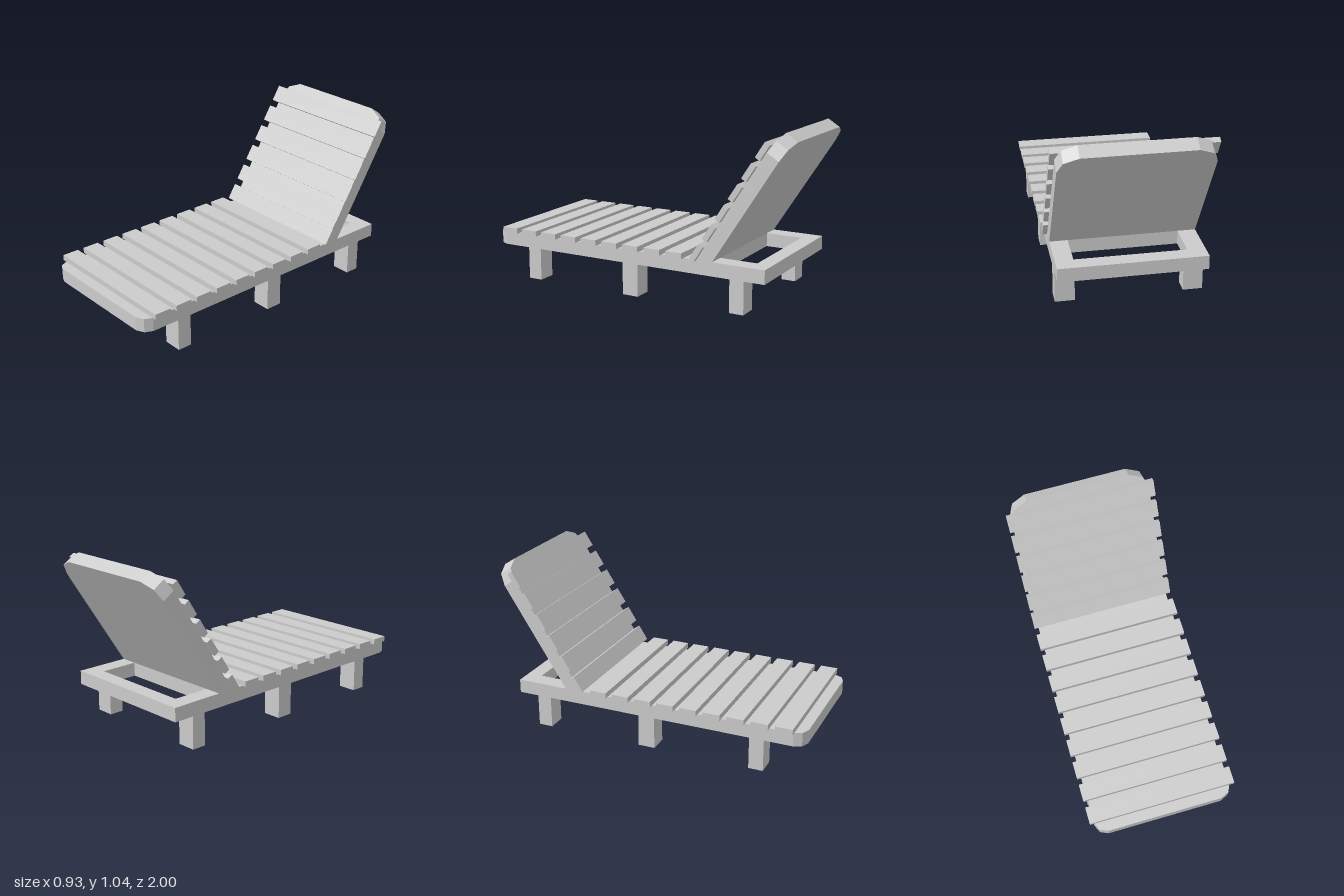
import * as THREE from 'three';

const material = new THREE.MeshStandardMaterial({ color: 0xcccccc, flatShading: true });
const HALF = 0.437;          // half width of frame and back panel
const THICK = 0.085;         // board thickness
const DECK = 0.285;          // top of the base frame
const SLAT = { width: 0.93, depth: 0.106, thick: 0.034, pitch: 0.148 };

function addMesh(parent, name, geometry, x = 0, y = 0, z = 0) {
  const mesh = new THREE.Mesh(geometry, material);
  mesh.name = name;
  mesh.position.set(x, y, z);
  parent.add(mesh);
  return mesh;
}

// Board running along +y from 0 to length, with its far corners cut.
// corner: [x, distance back from the far end], from the side inwards.
function boardGeometry(length, corner, hole) {
  const right = corner.map(([x, d]) => new THREE.Vector2(x, length - d));
  const left = right.map((p) => new THREE.Vector2(-p.x, p.y)).reverse();
  const shape = new THREE.Shape([
    new THREE.Vector2(-HALF, 0), new THREE.Vector2(HALF, 0), ...right, ...left,
  ]);
  if (hole) {
    const { x, near, far } = hole;
    shape.holes.push(new THREE.Path([
      new THREE.Vector2(-x, near), new THREE.Vector2(-x, far),
      new THREE.Vector2(x, far), new THREE.Vector2(x, near),
    ]));
  }
  return new THREE.ExtrudeGeometry(shape, { depth: THICK, bevelEnabled: false });
}

export function createModel() {
  const model = new THREE.Group();
  model.name = 'sunLounger';

  // Base frame: cut corners at the foot, opening behind the backrest
  const base = boardGeometry(1.87, [[HALF, 0.07], [0.415, 0.022], [0.365, 0]],
    { x: 0.33, near: 0.095, far: 0.33 });
  base.rotateX(Math.PI / 2);
  addMesh(model, 'baseFrame', base, 0, DECK, -0.87);

  // Three pairs of legs, the middle pair slightly thicker
  const legHeight = DECK - THICK;
  for (const [z, depth] of [[0.711, 0.09], [0.008, 0.105], [-0.697, 0.09]]) {
    for (const side of [-1, 1]) {
      addMesh(model, 'leg', new THREE.BoxGeometry(0.117, legHeight, depth),
        side * (HALF - 0.0585), legHeight / 2, z);
    }
  }

  // Seat slats
  const seatSlat = new THREE.BoxGeometry(SLAT.width, SLAT.thick, SLAT.depth);
  for (let i = 0; i < 9; i++) {
    addMesh(model, 'seatSlat', seatSlat, 0, DECK + SLAT.thick / 2, 0.881 - i * SLAT.pitch);
  }

  // Reclined backrest, hinged at the deck
  const backrest = new THREE.Group();
  backrest.name = 'backrest';
  backrest.position.set(0, DECK, -0.439);
  backrest.rotation.x = -THREE.MathUtils.degToRad(32.8);
  model.add(backrest);

  const panel = boardGeometry(0.904, [[HALF, 0.115], [0.407, 0.04], [0.322, 0]]);
  addMesh(backrest, 'backPanel', panel, 0, 0, -THICK);

  const backSlat = new THREE.BoxGeometry(SLAT.width, SLAT.depth, SLAT.thick);
  for (let i = 0; i < 6; i++) {
    addMesh(backrest, 'backSlat', backSlat, 0, 0.048 + i * SLAT.pitch, SLAT.thick / 2);
  }

  return model;
}
